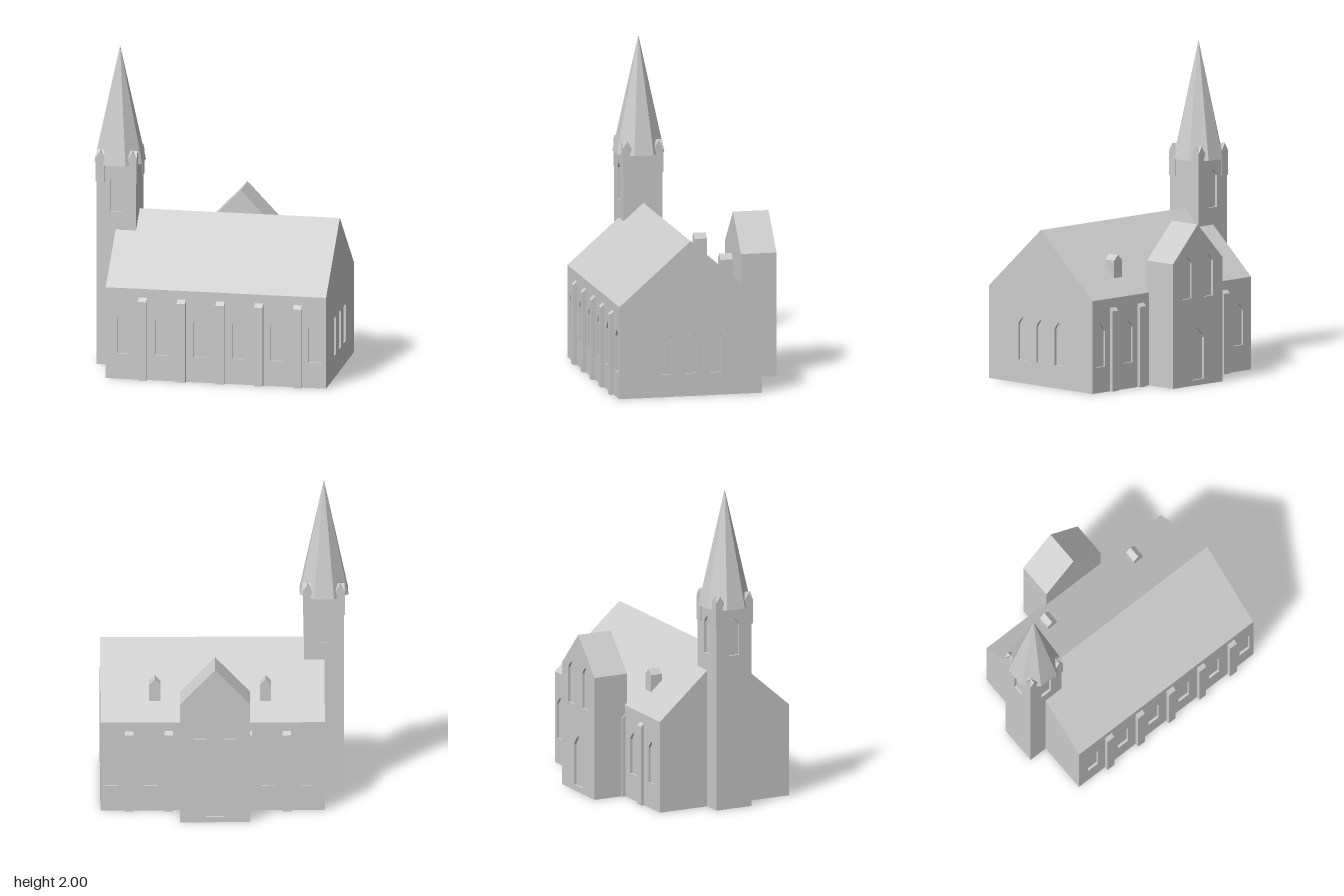
import * as THREE from 'three';

const stone = new THREE.MeshStandardMaterial({ color: 0xcccccc, flatShading: true });
stone.name = 'pale grey stone';

const T = 0.015; // window recess depth

function mesh(parent, name, geometry, x = 0, y = 0, z = 0, turn = 0) {
  const m = new THREE.Mesh(geometry, stone);
  m.name = name;
  m.position.set(x, y, z);
  m.rotation.y = turn;
  parent.add(m);
  return m;
}

const polygon = (pts) => new THREE.Shape(pts.map(([x, y]) => new THREE.Vector2(x, y)));

// Prism centred along z
function prism(pts, depth) {
  const g = new THREE.ExtrudeGeometry(polygon(pts), { depth, bevelEnabled: false });
  return g.translate(0, 0, -depth / 2);
}

// House-shaped outline, half width a
const gable = (a, base, eave, ridge) => [[-a, base], [a, base], [a, eave], [0, ridge], [-a, eave]];
const rect = (a, h) => [[-a, 0], [a, 0], [a, h], [-a, h]];

// Pointed window opening
function lancet(x, bottom, top, w) {
  const a = w / 2, s = top - 0.58 * w;
  const p = new THREE.Path();
  p.moveTo(x - a, bottom);
  p.lineTo(x + a, bottom);
  p.lineTo(x + a, s);
  p.quadraticCurveTo(x + a * 0.75, s + (top - s) * 0.5, x, top);
  p.quadraticCurveTo(x - a * 0.75, s + (top - s) * 0.5, x - a, s);
  p.closePath();
  return p;
}

// Wall layer whose outer face lies at local z = 0, pierced by windows
function wall(pts, windows) {
  const shape = polygon(pts);
  shape.holes = windows.map((w) => lancet(...w));
  const g = new THREE.ExtrudeGeometry(shape, { depth: T, bevelEnabled: false, curveSegments: 3 });
  return g.translate(0, 0, -T);
}

function buildNave() {
  const nave = new THREE.Group();
  nave.name = 'nave';
  nave.position.set(0.07, 0, 0.09);
  const L = 0.69, a = 0.45, eave = 0.577, ridge = 0.97;

  // Core and roof in one section, with the long walls set in below the eaves
  const core = [[-a + T, 0], [a - T, 0], [a - T, eave], [a, eave], [0, ridge], [-a, eave], [-a + T, eave]];
  mesh(nave, 'naveBodyAndRoof', prism(core, 2 * (L - T)), 0, 0, 0, Math.PI / 2);

  // Long walls
  const xs = [0, 1, 2, 3, 4, 5].map((i) => -0.58 + 0.24 * i);
  const side = rect(L - T, eave);
  const window = (x) => [x, 0.16, 0.425, 0.08];
  mesh(nave, 'frontWall', wall(side, xs.map(window)), 0, 0, a);
  const backXs = xs.filter((x) => x < -0.25 || x > 0.3);
  mesh(nave, 'backWall', wall(side, backXs.map((x) => window(-x))), 0, 0, -a, Math.PI);

  // End walls
  const end = gable(a, 0, eave, ridge);
  const triple = [-0.157, 0, 0.157].map((x) => [x, 0.142, 0.41, 0.073]);
  mesh(nave, 'leftGableWall', wall(end, triple), L, 0, 0, Math.PI / 2);
  mesh(nave, 'rightGableWall', wall(end, []), -L, 0, 0, -Math.PI / 2);

  // Buttresses with sloping tops
  const profile = [[0, 0], [0.025, 0], [0.025, 0.5], [0, 0.522]];
  for (let i = 0; i < 5; i++) {
    const x = -0.457 + 0.2425 * i;
    mesh(nave, 'frontButtress', prism(profile, 0.053), x, 0, a, -Math.PI / 2);
    if (i !== 2) mesh(nave, 'backButtress', prism(profile, 0.053), x, 0, -a + 0.003, Math.PI / 2);
  }

  // Small gabled vents on the back slope
  for (const x of [-0.326, 0.355]) {
    mesh(nave, 'roofVent', prism(gable(0.034, 0.6, 0.783, 0.816), 0.077), x, 0, -0.299);
  }
  return nave;
}

function buildAnnex() {
  const annex = new THREE.Group();
  annex.name = 'annex';
  annex.position.set(0.055, 0, 0);
  const outline = gable(0.215, 0, 0.775, 1.0);
  const front = -0.345, back = -0.57;
  mesh(annex, 'annexBody', prism(outline, front - back - T), 0, 0, (front + back + T) / 2);
  const openings = [[-0.092, 0.545, 0.81, 0.08], [0.092, 0.545, 0.81, 0.08], [0, 0.035, 0.355, 0.108]];
  mesh(annex, 'annexBackWall', wall(outline, openings), 0, 0, back, Math.PI);
  return annex;
}

function buildTower() {
  const tower = new THREE.Group();
  tower.name = 'tower';
  tower.position.set(-0.616, 0, 0.0925);
  const a = 0.123, top = 1.28;

  // Shaft core and four faces
  const core = new THREE.BoxGeometry(2 * (a - T), top, 2 * (a - T));
  mesh(tower, 'towerCore', core, 0, top / 2, 0);
  const opening = [[0, 0.972, 1.21, 0.072]];
  mesh(tower, 'towerFrontWall', wall(rect(a, top), opening), 0, 0, a);
  mesh(tower, 'towerBackWall', wall(rect(a, top), opening), 0, 0, -a, Math.PI);
  mesh(tower, 'towerRightWall', wall(rect(a - T, top), opening), -a, 0, 0, -Math.PI / 2);
  mesh(tower, 'towerLeftWall', wall(rect(a - T, top), []), a, 0, 0, Math.PI / 2);

  // Corner pinnacles with crossed gables
  const cap = gable(0.028, 1.16, 1.315, 1.36);
  for (const sx of [-1, 1]) {
    for (const sz of [-1, 1]) {
      for (const turn of [0, Math.PI / 2]) {
        mesh(tower, 'cornerPinnacle', prism(cap, 0.056), sx * 0.1, 0, sz * 0.1, turn);
      }
    }
  }

  // Eight-sided spire, flats facing the tower sides
  const spire = new THREE.ConeGeometry(0.15 / Math.cos(Math.PI / 8), 0.73, 8);
  mesh(tower, 'spire', spire, 0, 1.635, 0, Math.PI / 8);
  return tower;
}

export function createModel() {
  const model = new THREE.Group();
  model.name = 'church';
  model.add(buildNave(), buildAnnex(), buildTower());
  return model;
}
